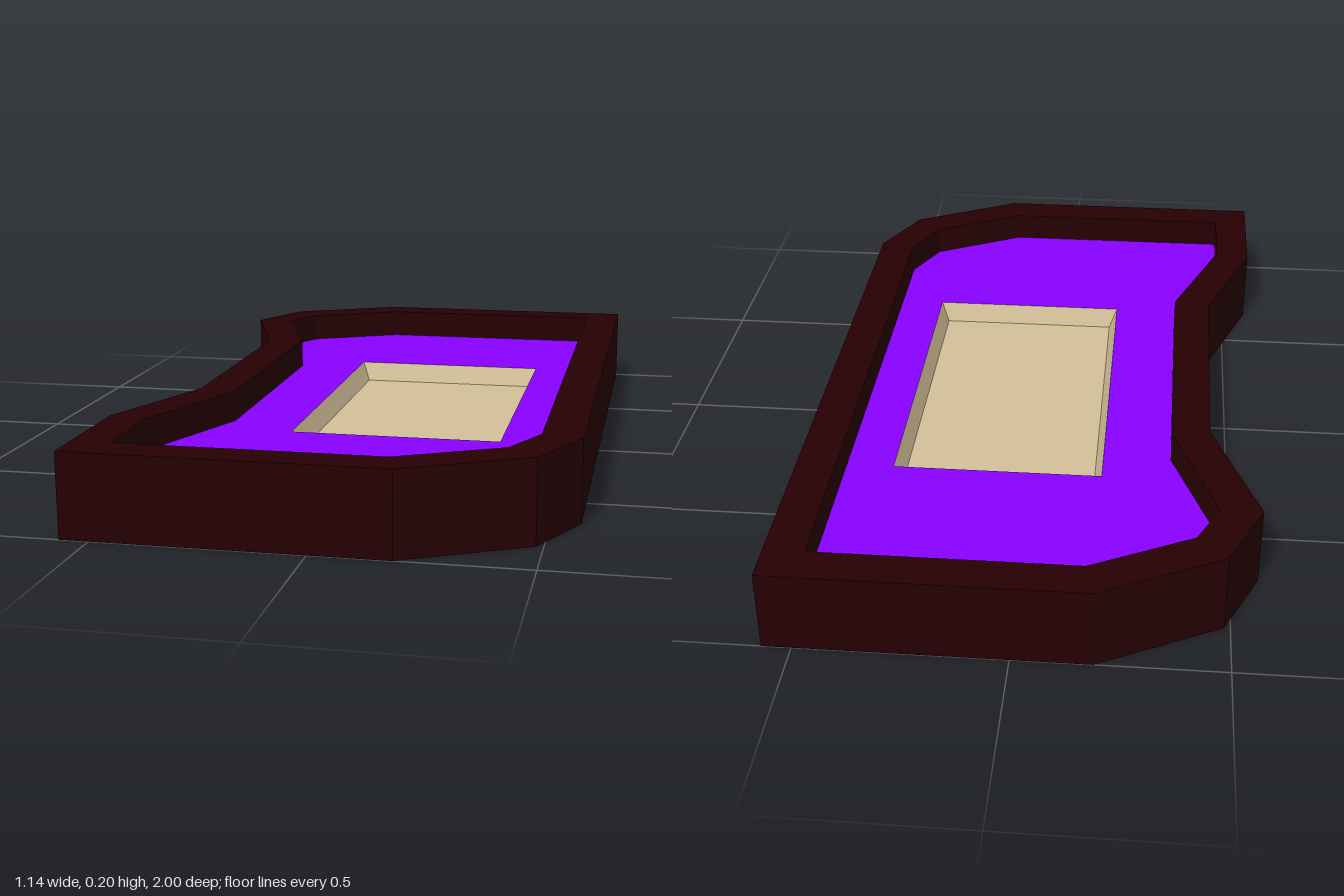
import * as THREE from 'three';

const RIM_TOP = 0.205, FIELD_Y = 0.127, RECESS_Y = 0.075;

// Outlines as [x, z]
const outer = [[-0.19, -1], [0.57, -1], [0.57, 0.665], [0.483, 0.847], [0.19, 1], [-0.57, 1],
  [-0.57, 0.665], [-0.447, 0.335], [-0.447, -0.335], [-0.57, -0.668], [-0.485, -0.85]];
const inner = [[-0.165, -0.905], [0.472, -0.905], [0.472, 0.645], [0.41, 0.777], [0.165, 0.905], [-0.475, 0.905],
  [-0.475, 0.68], [-0.35, 0.355], [-0.35, -0.355], [-0.467, -0.668], [-0.412, -0.78]];
const rect = (x0, x1, z0, z1) => [[x0, z0], [x0, z1], [x1, z1], [x1, z0]];
const recessTop = rect(-0.178, 0.352, -0.442, 0.438);
const recessFloor = rect(-0.157, 0.331, -0.422, 0.418);

// Reversed so that outlines run counter-clockwise in the shape plane
const points = (list) => list.map(([x, z]) => new THREE.Vector2(x, -z)).reverse();

function makeShape(list, hole) {
  const shape = new THREE.Shape(points(list));
  if (hole) shape.holes.push(new THREE.Path(points(hole)));
  return shape;
}

const slab = (shape, height) =>
  new THREE.ExtrudeGeometry(shape, { depth: height, bevelEnabled: false }).rotateX(-Math.PI / 2);

// Open tray: four sloping walls between two rectangles, plus a floor
function trayGeometry(top, bottom, yTop, yBottom) {
  const t = top.map(([x, z]) => [x, yTop, z]);
  const b = bottom.map(([x, z]) => [x, yBottom, z]);
  const pos = [];
  const quad = (p, q, r, s) => pos.push(...p, ...q, ...r, ...p, ...r, ...s);
  for (let i = 0; i < 4; i++) {
    const j = (i + 1) % 4;
    quad(t[i], t[j], b[j], b[i]);
  }
  quad(...b);
  const geo = new THREE.BufferGeometry();
  geo.setAttribute('position', new THREE.Float32BufferAttribute(pos, 3));
  geo.computeVertexNormals();
  return geo;
}

export function createModel() {
  const model = new THREE.Group();
  const material = (color, side = THREE.FrontSide) =>
    new THREE.MeshStandardMaterial({ color, side, flatShading: true });
  const dark = material(0x260002);
  const purple = material(0x8800ff, THREE.DoubleSide);
  const tan = material(0xd3bf98, THREE.DoubleSide);
  const add = (name, geometry, mat) => {
    const mesh = new THREE.Mesh(geometry, mat);
    mesh.name = name;
    model.add(mesh);
    return mesh;
  };

  // Raised border wall and the closed underside
  add('rim', slab(makeShape(outer, inner), RIM_TOP), dark);
  add('base', slab(makeShape(inner), 0.05), dark);

  // Sunken surface with an opening for the tray
  const field = new THREE.ShapeGeometry(makeShape(inner, recessTop)).rotateX(-Math.PI / 2);
  add('field', field, purple).position.y = FIELD_Y;

  // Rectangular recess with sloping sides
  add('recess', trayGeometry(recessTop, recessFloor, FIELD_Y, RECESS_Y), tan);

  return model;
}
